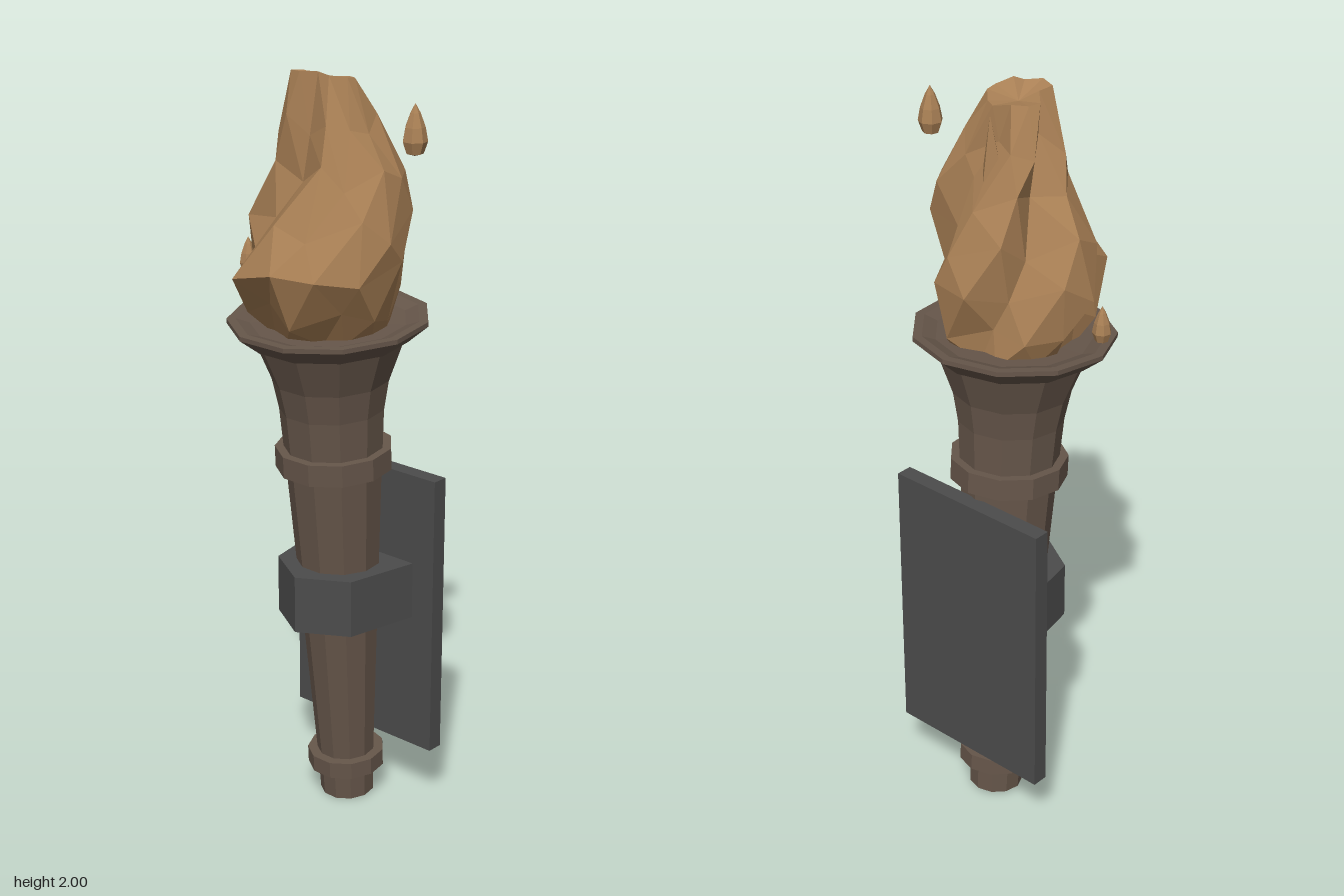
import * as THREE from 'three';

const mat = (color) => new THREE.MeshStandardMaterial({ color, flatShading: true, side: THREE.DoubleSide });

export function createModel() {
  const root = new THREE.Group();
  const wood = mat(0x66564a), iron = mat(0x4c4c4c), fire = mat(0xa98055);

  const add = (parent, name, geometry, material) => {
    const mesh = new THREE.Mesh(geometry, material);
    mesh.name = name;
    parent.add(mesh);
    return mesh;
  };
  const lathe = (points, sides) => new THREE.LatheGeometry(
    points.map(([r, y]) => new THREE.Vector2(r, y)), sides, Math.PI / 2);

  // Torch body, leaning away from the wall plate
  const torch = new THREE.Group();
  torch.name = 'torch';
  torch.position.set(0.085, 0.004, 0);
  torch.rotation.z = 0.057;
  root.add(torch);
  add(torch, 'shaft', lathe([[0, 0], [0.073, 0], [0.077, 0.11], [0.128, 1.0]], 11), wood);
  add(torch, 'lowerCollar', lathe([[0.07, 0.082], [0.104, 0.082], [0.104, 0.128], [0.07, 0.128]], 11), wood);
  add(torch, 'upperCollar', lathe([[0.12, 0.967], [0.153, 0.967], [0.153, 1.025], [0.12, 1.025]], 11), wood);
  add(torch, 'bowl', lathe([[0.13, 1.02], [0.137, 1.13], [0.152, 1.21], [0.192, 1.315], [0.205, 1.318],
    [0.258, 1.362], [0.258, 1.374], [0.235, 1.374], [0.2, 1.362], [0, 1.36]], 11), wood);

  // Wall plate and the strap holding the shaft
  add(root, 'wallPlate', new THREE.BoxGeometry(0.044, 0.776, 0.474), iron).position.set(0.171, 0.558, 0);
  const strap = new THREE.Shape([[0.16, -0.17], [0.16, 0.17], [-0.05, 0.128], [-0.125, 0], [-0.05, -0.128]]
    .map(([x, z]) => new THREE.Vector2(x, -z)));
  const strapMesh = add(root, 'strap', new THREE.ExtrudeGeometry(strap, { depth: 0.155, bevelEnabled: false }), iron);
  strapMesh.rotation.x = -Math.PI / 2;
  strapMesh.position.y = 0.545;

  // Flame: pleated rings that twist as they rise [y, centreX, centreZ, radiusX, radiusZ, pleat]
  const rings = [
    [1.34, 0.01, 0, 0.15, 0.15, 0.05],
    [1.42, -0.01, 0.01, 0.2, 0.2, 0.16],
    [1.53, -0.03, 0.015, 0.247, 0.23, 0.24],
    [1.64, -0.012, 0.022, 0.205, 0.222, 0.32],
    [1.76, 0.002, 0.038, 0.15, 0.178, 0.36],
    [1.87, -0.012, 0.015, 0.118, 0.128, 0.42],
    [1.985, -0.015, 0.003, 0.08, 0.082, 0.35],
  ];
  const sides = 12, pleats = [0, 3, 6], positions = [], index = [];
  rings.forEach(([y, cx, cz, rx, rz, pleat], i) => {
    for (let j = 0; j < sides; j++) {
      const wobble = Math.sin(i * 5.1 + j * 2.7);
      const a = (j / sides) * Math.PI * 2 + i * 0.33 + wobble * 0.09;
      const k = (pleats.includes(j) ? 1 - pleat : 1) - 0.03 * (1 + wobble);
      // The crown slopes down to one side
      const lift = i === rings.length - 1 ? -0.015 * Math.sin(a) : i > 0 ? wobble * 0.03 : 0;
      positions.push(cx + Math.sin(a) * rx * k, y + lift, cz + Math.cos(a) * rz * k);
      if (i < rings.length - 1) {
        const p = i * sides + j, q = i * sides + (j + 1) % sides;
        index.push(p, q, p + sides, q, q + sides, p + sides);
      }
    }
  });
  // Sunken crown closing the top of the flame
  const top = (rings.length - 1) * sides;
  positions.push(-0.01, 1.965, 0);
  for (let j = 0; j < sides; j++) index.push(top + j, top + (j + 1) % sides, top + sides);
  const flame = new THREE.BufferGeometry();
  flame.setAttribute('position', new THREE.Float32BufferAttribute(positions, 3));
  flame.setIndex(index);
  flame.computeVertexNormals();
  add(root, 'flame', flame, fire);

  // Side tongue of the flame
  const tongue = add(root, 'flameTongue', new THREE.ConeGeometry(0.08, 0.38, 4), fire);
  tongue.position.set(0.075, 1.765, 0.005);
  tongue.rotation.z = -0.05;

  // Loose sparks in front and behind
  const drop = () => lathe([[0, -0.5], [0.17, -0.45], [0.25, -0.22], [0.2, 0.05], [0.1, 0.32], [0, 0.5]], 7);
  [['frontSpark', 1.882, 0.268, 0.125], ['backSpark', 1.483, -0.282, 0.095]].forEach(([name, y, z, size]) => {
    const spark = add(root, name, drop(), fire);
    spark.position.set(0.01, y, z);
    spark.scale.setScalar(size);
  });

  return root;
}
